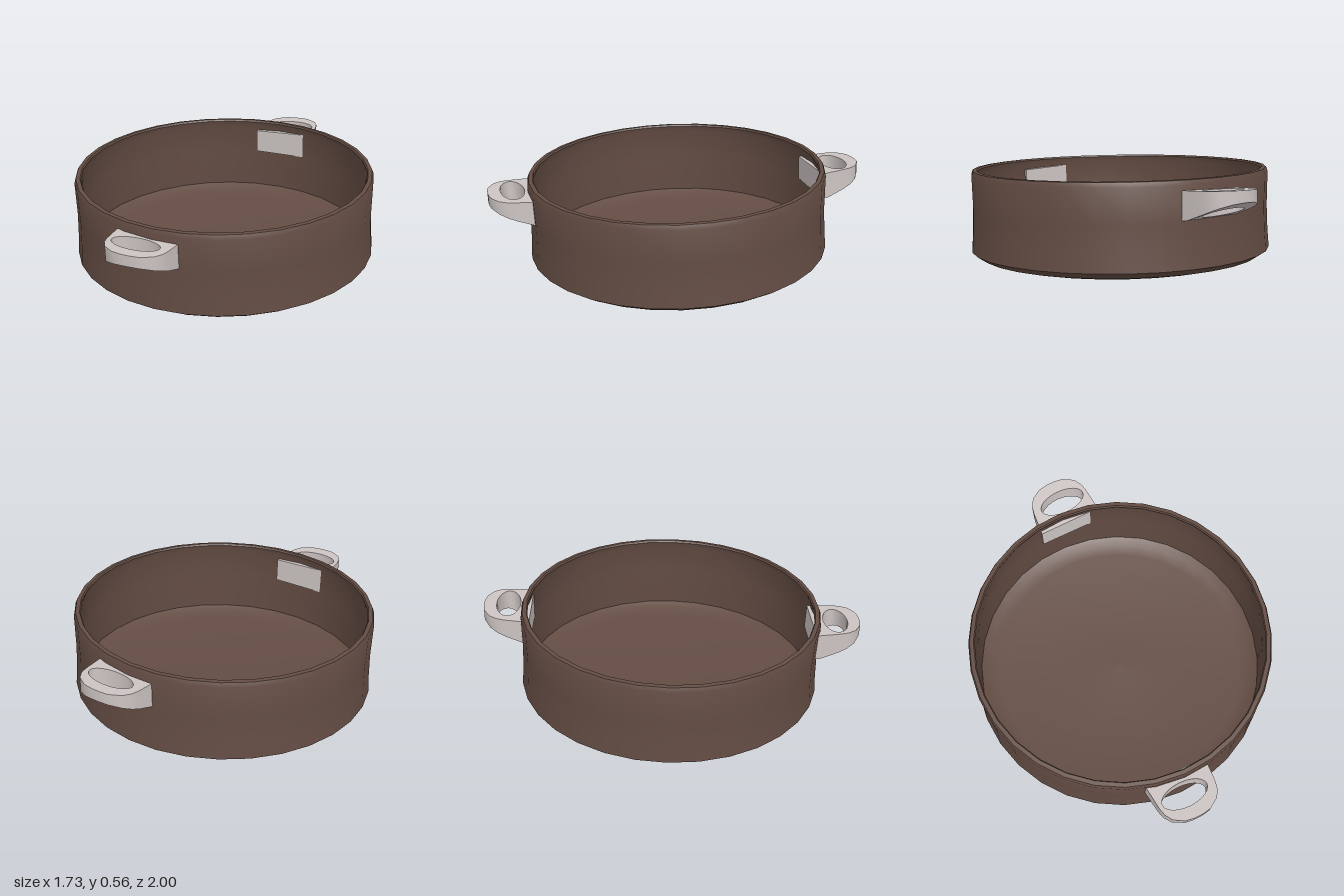
import * as THREE from 'three';
import { toCreasedNormals } from 'three/addons/utils/BufferGeometryUtils.js';

const panMaterial = new THREE.MeshStandardMaterial({ color: 0x634c43 });
const handleMaterial = new THREE.MeshStandardMaterial({ color: 0xccc4c2 });

// Thin-walled pan: underside, outer wall, rim, inner wall and dished floor in one profile
function createPan() {
  const profile = [
    [0, 0], [0.73, 0], [0.81, 0.02], [0.863, 0.055], [0.855, 0.16], [0.85, 0.3],
    [0.854, 0.49], [0.845, 0.514], [0.822, 0.516], [0.816, 0.506],
    [0.828, 0.47], [0.828, 0.3], [0.83, 0.14], [0.832, 0.066], [0.79, 0.044], [0.72, 0.03], [0, 0.028],
  ].map(([r, y]) => new THREE.Vector2(r, y));
  const geometry = toCreasedNormals(new THREE.LatheGeometry(profile, 32), 0.6);
  const pan = new THREE.Mesh(geometry, panMaterial);
  pan.name = 'pan';
  return pan;
}

// Loop handle: outline across (x) and outward (y), with an oval finger hole
function createHandleGeometry() {
  const centre = 0.072;
  const half = [[0.183, 0.802], [0.179, 0.84], [0.171, 0.94], [0.161, 0.985], [0.135, 1.028], [0.075, 1.064], [0.024, 1.072]];
  const outline = [
    ...half.map(([w, r]) => new THREE.Vector2(centre + w, r)),
    ...half.slice().reverse().map(([w, r]) => new THREE.Vector2(centre - w, r)),
  ];
  const shape = new THREE.Shape(outline);
  const hole = new THREE.Path();
  hole.absellipse(centre + 0.012, 0.934, 0.135, 0.068, 0, Math.PI * 2, true);
  shape.holes.push(hole);
  const geometry = new THREE.ExtrudeGeometry(shape, { depth: 1, bevelEnabled: false, curveSegments: 12 });

  // Slightly rising top, underside sweeping up towards the tip
  const p = geometry.attributes.position;
  for (let i = 0; i < p.count; i++) {
    const across = p.getX(i), out = p.getY(i);
    const sweep = Math.max(0, (out - 0.83) / 0.245);
    const top = 0.46 + 0.055 * (out - 0.88) + 0.035 * (across - centre);
    const bottom = 0.309 + 0.1 * Math.pow(sweep, 1.15);
    p.setXYZ(i, -across, p.getZ(i) > 0.5 ? top : bottom, out);
  }
  geometry.computeVertexNormals();
  return toCreasedNormals(geometry, 0.7);
}

export function createModel() {
  const model = new THREE.Group();
  model.name = 'casserolePan';

  // The whole vessel leans a little
  const body = new THREE.Group();
  body.name = 'vessel';
  body.position.set(0.001, 0.02, -0.014);
  body.rotation.set(0.025, 0, 0.014);
  body.add(createPan());

  // Two opposite handles
  const handleGeometry = createHandleGeometry();
  ['frontHandle', 'backHandle'].forEach((name, i) => {
    const handle = new THREE.Mesh(handleGeometry, handleMaterial);
    handle.name = name;
    handle.rotation.y = -0.35 + i * Math.PI;
    body.add(handle);
  });

  model.add(body);
  return model;
}
